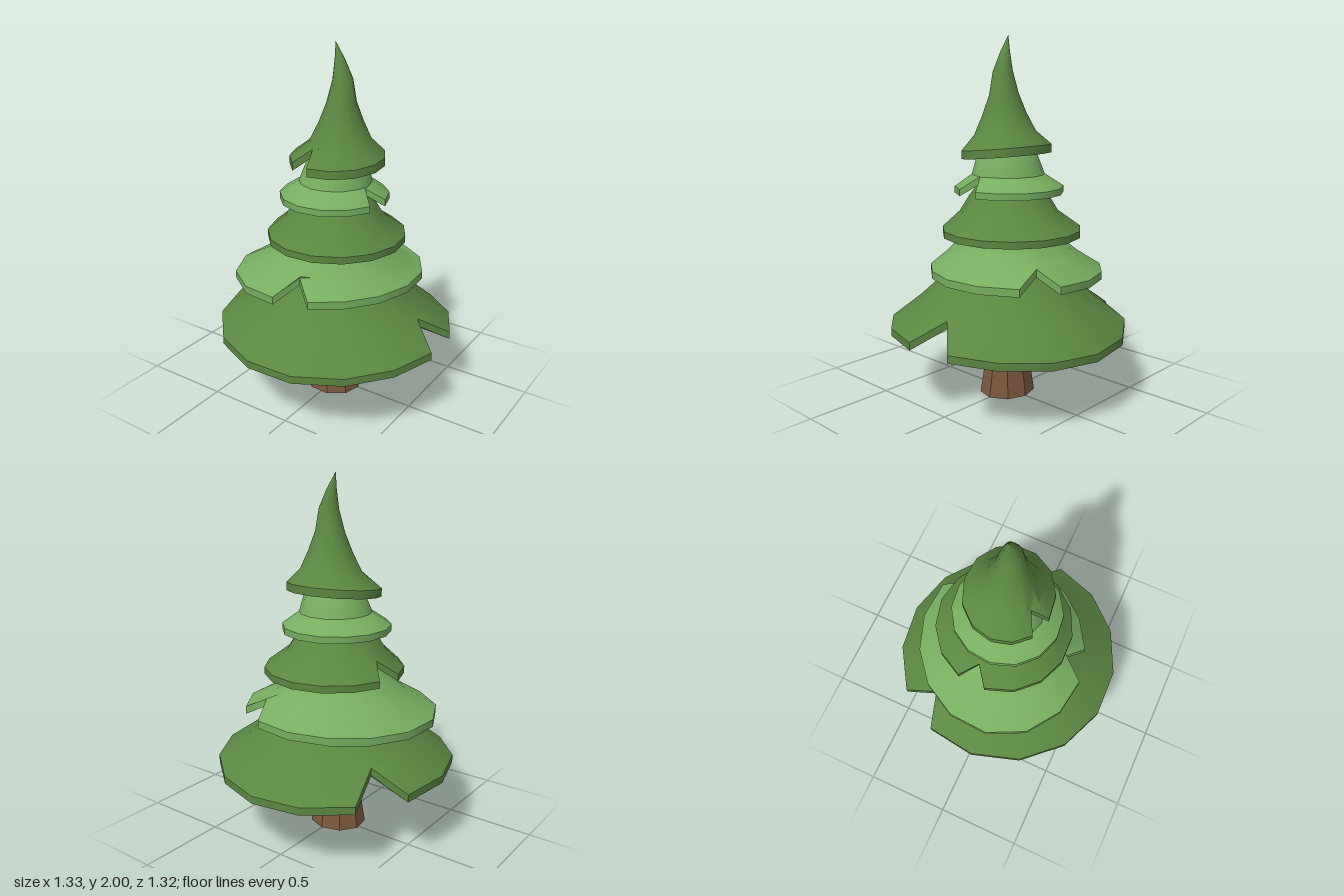
import * as THREE from 'three';
import { toCreasedNormals } from 'three/addons/utils/BufferGeometryUtils.js';

const DEG = Math.PI / 180;

function material(name, color) {
  const m = new THREE.MeshStandardMaterial({ color });
  m.name = name;
  return m;
}

// Rim of a tier: a polygon, slightly oval, tilted and sagging, with notches.
// warp: [degrees, cycles, angle] shifts the corners; notches: [edge, tip radius, tip height]
function rimPoints({ sides, phase, radius, y, cx = 0, cz = 0, tiltX = 0, tiltZ = 0, sag = 0,
  oval = 0, ovalAngle = 0, warp = [0, 1, 0], notches = [] }) {
  const angle = i => {
    const a = phase + i * 360 / sides;
    return (a + warp[0] * Math.cos(warp[1] * (a - warp[2]) * DEG)) * DEG;
  };
  const rim = [];
  for (let i = 0; i < sides; i++) {
    const a = angle(i);
    const r = radius * (1 + oval * Math.cos(2 * (a - ovalAngle * DEG)));
    const x = r * Math.sin(a), z = r * Math.cos(a);
    const drop = sag * Math.cos(2 * a);
    rim.push({ a, x: cx + x, y: y + tiltX * x + tiltZ * z - drop, z: cz + z, limit: Infinity });
    for (const [edge, tip, tipY] of notches) {
      if (edge !== i) continue;
      const t = (a + angle(i + 1)) / 2;
      rim.push({ a: t, x: cx + tip * Math.sin(t), y: tipY, z: cz + tip * Math.cos(t), limit: tip * 0.97 });
    }
  }
  return rim;
}

// One skirt of foliage. Top rings: [radius, y, centre x], closing at the apex;
// the shallow underside has one ring [radius, y] and closes at the ceiling
function tierGeometry({ rings, apex, under, ceiling, thick = 0.042, ...shape }) {
  const { cx = 0, tiltX = 0, tiltZ = 0 } = shape;
  const rim = rimPoints(shape);
  const n = rim.length;
  const ring = ([radius, y, ox = cx]) => rim.map(p => {
    const r = Math.min(radius, p.limit);
    const x = r * Math.sin(p.a), z = r * Math.cos(p.a);
    return [ox + x, y + tiltX * x + tiltZ * z, z];
  });

  // Underside from the ceiling down, then the rim band, then the top side up
  const loops = [
    ring([0, ceiling]),
    ring(under),
    rim.map(p => [p.x, p.y - thick, p.z]),
    rim.map(p => [p.x, p.y, p.z]),
    ...rings.map(ring),
    ring([0, apex, 0]),
  ];
  const index = [];
  for (let j = 0; j < loops.length - 1; j++) {
    for (let i = 0; i < n; i++) {
      const a = j * n + i, b = j * n + (i + 1) % n;
      if (j > 0) index.push(a, b, b + n);
      if (j < loops.length - 2) index.push(a, b + n, a + n);
    }
  }
  const g = new THREE.BufferGeometry();
  g.setAttribute('position', new THREE.Float32BufferAttribute(loops.flat(2), 3));
  g.setIndex(index);
  return toCreasedNormals(g, 0.6);
}

export function createModel() {
  const group = new THREE.Group();
  const dark = material('dark foliage', 0x5a8741);
  const light = material('light foliage', 0x76ae60);
  const bark = material('bark', 0x7b573d);

  const add = (name, geometry, mat) => {
    const mesh = new THREE.Mesh(geometry, mat);
    mesh.name = name;
    group.add(mesh);
    return mesh;
  };

  // Faceted trunk, slightly oval and narrowing into the foliage
  const profile = [[0, 0], [0.165, 0], [0.1, 0.4], [0.065, 0.7]]
    .map(([r, y]) => new THREE.Vector2(r, y));
  const trunkGeometry = new THREE.LatheGeometry(profile, 9).toNonIndexed();
  trunkGeometry.rotateY(0.3);
  trunkGeometry.scale(1, 1, 0.9);
  trunkGeometry.computeVertexNormals();
  add('trunk', trunkGeometry, bark).position.set(-0.006, 0, 0.014);

  // Five tiers of foliage, from the widest up to the pointed top
  add('bottomTier', tierGeometry({
    sides: 15, phase: 11, radius: 0.667, y: 0.426, tiltZ: 0.014, sag: 0.015,
    warp: [-3, 1, 180],
    notches: [[3, 0.51, 0.545], [9, 0.51, 0.545]],
    rings: [[0.5, 0.555], [0.345, 0.7], [0.25, 0.83], [0.15, 0.97]], apex: 1.05,
    under: [0.49, 0.5], ceiling: 0.7,
  }), dark);

  add('secondTier', tierGeometry({
    sides: 15, phase: 18, radius: 0.508, y: 0.735, cx: -0.052, cz: -0.015, tiltX: 0.03,
    oval: 0.05, ovalAngle: 125, warp: [-4, 1, 150],
    notches: [[5, 0.43, 0.82], [14, 0.372, 0.815]],
    rings: [[0.36, 0.825, -0.04], [0.265, 0.92, -0.02], [0.2, 1.02, 0]], apex: 1.12,
    under: [0.34, 0.77], ceiling: 0.85,
  }), light);

  add('middleTier', tierGeometry({
    sides: 15, phase: 14, radius: 0.386, y: 0.962, cx: -0.006, cz: -0.02, thick: 0.038,
    notches: [[10, 0.285, 1.04]],
    rings: [[0.275, 1.05], [0.22, 1.14], [0.15, 1.23]], apex: 1.3,
    under: [0.26, 1], ceiling: 1.08,
  }), dark);

  add('fourthTier', tierGeometry({
    sides: 14, phase: 20, radius: 0.3, y: 1.192, cx: -0.007, thick: 0.036,
    notches: [[2, 0.208, 1.255]],
    rings: [[0.2, 1.26, 0], [0.163, 1.37, 0.008], [0.11, 1.45, 0.01]], apex: 1.5,
    under: [0.19, 1.22], ceiling: 1.29,
  }), light);

  add('topTier', tierGeometry({
    sides: 13, phase: 355, radius: 0.25, y: 1.405, cx: 0.012, tiltZ: -0.1, thick: 0.045,
    oval: 0.05, ovalAngle: 100, warp: [5, 2, 60],
    notches: [[12, 0.155, 1.46]],
    rings: [[0.168, 1.485, 0.028], [0.12, 1.585, 0.033], [0.08, 1.69, 0.036],
      [0.054, 1.81, 0.044], [0.027, 1.91, 0.026]], apex: 2,
    under: [0.145, 1.42], ceiling: 1.48,
  }), dark);

  return group;
}
